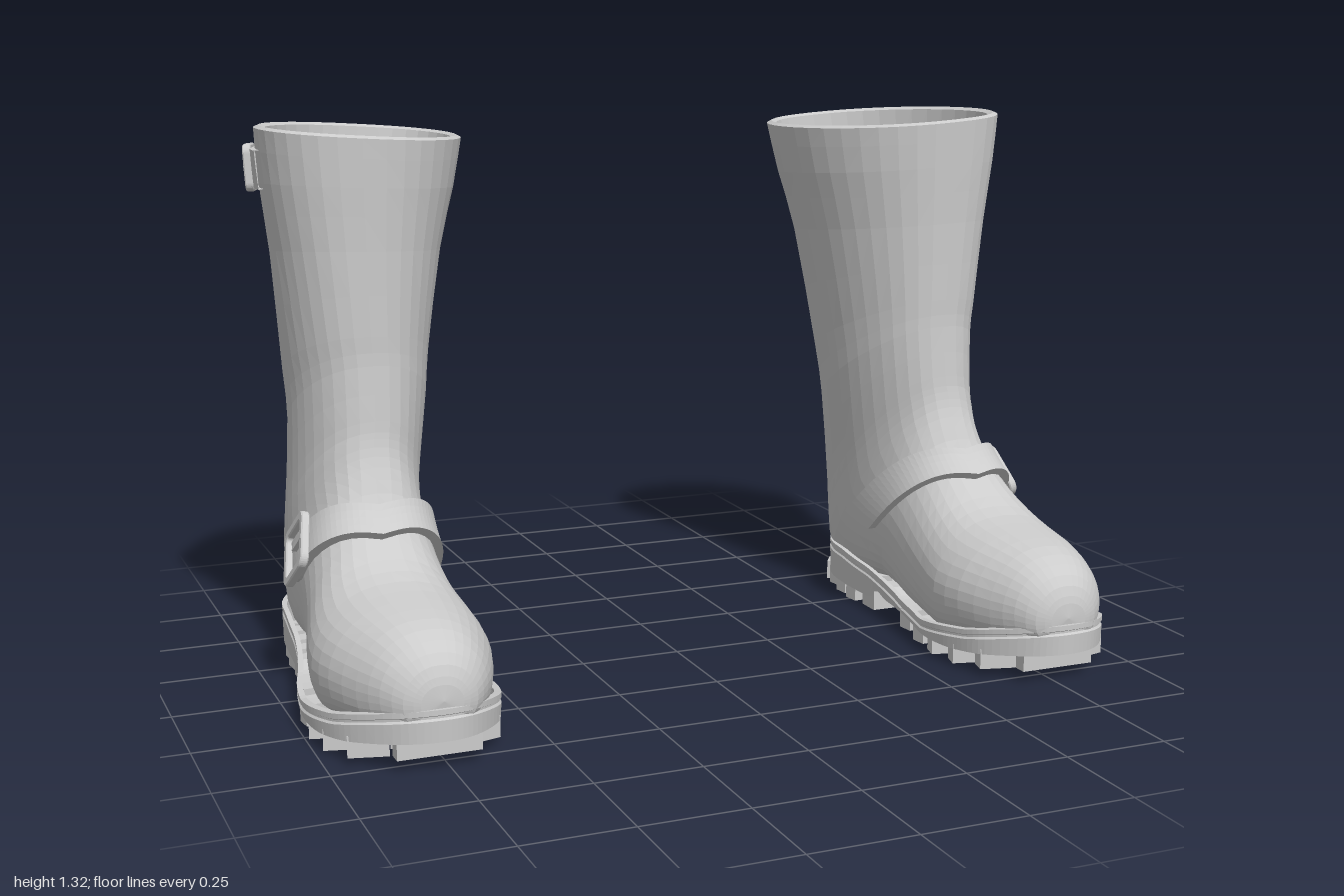
import * as THREE from 'three';

const mat = new THREE.MeshStandardMaterial({ color: 0xcccccc, flatShading: true, side: THREE.DoubleSide });
const V = (x, y, z) => new THREE.Vector3(x, y, z);
const PI = Math.PI;
const { smoothstep, clamp, lerp } = THREE.MathUtils;

// Upper sections, toe to rim: front z, y | back z, y | inner x, outer x
const STATIONS = [
  [.574, .195, .574, .13, .725, .82],
  [.56, .235, .56, .11, .69, .855],
  [.52, .278, .52, .10, .655, .895],
  [.45, .305, .46, .08, .625, .93],
  [.35, .32, .36, .07, .594, .966],
  [.25, .335, .26, .05, .584, .98],
  [.17, .365, .15, .05, .597, .968],
  [.11, .41, .02, .062, .608, .945],
  [.06, .46, -.12, .085, .612, .93],
  [.03, .52, -.3, .055, .608, .92],
  [.01, .57, -.45, .05, .605, .918],
  [0, .61, -.5, .14, .602, .915],
  [-.005, .65, -.51, .25, .595, .91],
  [-.015, .78, -.49, .5, .572, .903],
  [-.015, .85, -.51, .65, .56, .91],
  [-.012, 1.05, -.55, 1, .515, .93],
  [-.005, 1.2, -.57, 1.17, .475, .948],
  [0, 1.315, -.585, 1.315, .45, .955],
];
const LAST = STATIONS.length - 1;

// Smooth blend between sections, then roundness, low bulge and twist by rule
function stationAt(s) {
  const i = Math.min(Math.floor(s), LAST - 1), u = s - i;
  const at = (j) => STATIONS[clamp(j, 0, LAST)];
  const [a, b, c, d] = [at(i - 1), at(i), at(i + 1), at(i + 2)];
  const q = b.map((_, k) => b[k] + .5 * u * (c[k] - a[k]
    + u * (2 * a[k] - 5 * b[k] + 4 * c[k] - d[k] + u * (3 * (b[k] - c[k]) + d[k] - a[k]))));
  const shaft = smoothstep(s, 8.5, 13);
  return [...q, lerp(.42, .87, shaft), 1 + .4 * (1 - smoothstep(s, 4, 11.5)), Math.max(0, q[1] - .63) * .19];
}

// Point of a section; t runs sole, outer side, front, inner side
function sectionPoint([fz, fy, bz, by, xi, xo, low, skew, twist], t) {
  const u = (1 - Math.cos(t)) / 2, f = u ** skew, sn = Math.sin(t);
  const x = (xi + xo) / 2 + Math.sign(sn) * Math.abs(sn) ** (u < .5 ? low : .85) * (xo - xi) / 2 + twist * (f - .5);
  const y = by + (fy - by) * f;
  return V(x, y - .07 * (.955 - x) * (y / 1.3) ** 3, bz + (fz - bz) * f);
}
const surf = (s, t) => sectionPoint(stationAt(s), t);

function normalAt(s, t) {
  const e = .02, ds = surf(s + e, t).sub(surf(s - e, t)), dt = surf(s, t + e).sub(surf(s, t - e));
  return ds.cross(dt).normalize();
}

// Skin through rows of points
function loft(rows, closed = true) {
  const n = rows[0].length, pos = [], idx = [];
  rows.forEach((r) => r.forEach((p) => pos.push(p.x, p.y, p.z)));
  for (let j = 0; j < rows.length - 1; j++) {
    for (let i = 0; i < (closed ? n : n - 1); i++) {
      const a = j * n + i, a1 = j * n + (i + 1) % n;
      idx.push(a, a + n, a1, a1, a + n, a1 + n);
    }
  }
  const g = new THREE.BufferGeometry();
  g.setAttribute('position', new THREE.Float32BufferAttribute(pos, 3));
  g.setIndex(idx);
  g.computeVertexNormals();
  return g;
}

function add(parent, name, geo) {
  const m = new THREE.Mesh(geo, mat);
  m.name = name;
  parent.add(m);
  return m;
}

// Linear lookup in [z, value...] rows, z falling
function lookup(table, z, k = 1) {
  let i = 0;
  while (i < table.length - 2 && z < table[i + 1][0]) i++;
  const [a, b] = [table[i], table[i + 1]];
  return lerp(a[k], b[k], clamp((z - a[0]) / (b[0] - a[0]), 0, 1));
}

// Sole plan (z, inner x, outer x) and its top and bottom lines (z, y)
const OUTLINE = [[.585, .77, .77], [.555, .69, .86], [.46, .612, .945], [.36, .58, .985], [.25, .571, .998],
  [.12, .593, .985], [0, .61, .955], [-.12, .612, .935], [-.25, .608, .925], [-.38, .622, .91], [-.47, .675, .86], [-.5, .765, .765]];
const TOP = [[.585, .145], [.4, .103], [.2, .075], [.05, .08], [-.15, .115], [-.3, .13], [-.5, .13]];
const BASE = [[.585, .072], [.45, .052], [.35, .042], [.2, .038], [.07, .045], [-.05, .05], [-.118, .072], [-.128, .036], [-.5, .036]];

function buildSole(boot) {
  const outer = OUTLINE.map(([z, , x]) => V(x, 0, z)), inner = OUTLINE.slice(1, -1).reverse().map(([z, x]) => V(x, 0, z));
  const curve = new THREE.CatmullRomCurve3([...outer, ...inner], true, 'catmullrom', .5);
  const n = 132, pts = Array.from({ length: n }, (_, i) => curve.getPoint(i / n));
  const ring = (gx, gz, yOf) => pts.map((p, i) => {
    const cx = (p.x + pts[(n - i) % n].x) / 2;
    return V(cx + (p.x - cx) * gx, yOf(p.z), .04 + (p.z - .04) * gz);
  });
  const top = (d) => (z) => lookup(TOP, z) - d, base = (z) => lookup(BASE, z);
  add(boot, 'sole', loft([ring(.93, .97, top(0)), ring(1, 1, top(0)), ring(1, 1, top(.012)), ring(.98, .99, top(.015)),
    ring(.98, .99, top(.02)), ring(1, 1, top(.024)), ring(.99, .995, base), ring(0, .995, base)]));

  // Tread lugs
  const treads = new THREE.Group();
  treads.name = 'treads';
  boot.add(treads);
  const lug = (x, z, w, d, yaw = 0) => {
    const m = add(treads, 'lug', new THREE.BoxGeometry(w, .05, d));
    m.position.set(x, lookup(BASE, z) - .011, z);
    m.rotation.y = yaw;
  };
  for (const z of [.44, .355, .265, .165, .07, -.25, -.325, -.4]) {
    const xi = lookup(OUTLINE, z, 1), xo = lookup(OUTLINE, z, 2), cx = (xi + xo) / 2, w = (xo - xi) * .26;
    for (const k of [-1, 1]) {
      lug(k < 0 ? xi + w / 2 + .006 : xo - w / 2 - .006, z, w, .045, k * (z > .2 ? .25 : -.1));
      lug(cx + k * .036, z - .03, .05, .05, k * .45);
    }
  }
  lug(.773, -.16, .30, .065);
  lug(.77, .52, .19, .035);
  lug(.69, -.455, .07, .05, -.6);
  lug(.84, -.455, .07, .05, .6);
  lug(.765, -.475, .06, .035);
}

// Strap lying on the upper; sOf gives its centre section, taper its width
function strap(boot, name, t0, t1, sOf, half, h, taper) {
  const rows = [], n = 48;
  for (let i = 0; i <= n; i++) {
    const t = t0 + (t1 - t0) * i / n, w = half * taper(i / n);
    rows.push([[1, -.006], [1, h], [.5, h], [0, h], [-.5, h], [-1, h], [-1, -.006]].map(([k, o]) => {
      const s = sOf(t) + k * w;
      return surf(s, t).addScaledVector(normalAt(s, t), o);
    }));
  }
  add(boot, name, loft(rows, false));
}

// Rounded frame with a prong, set square to the strap
function buckle(boot, name, t, sOf, half, h) {
  const g = new THREE.Group();
  g.name = name;
  const square = (P, a, r) => {
    const p = new P();
    [[1, 1], [-1, 1], [-1, -1], [1, -1]].forEach(([x, y], i) => p.absarc(x * (a - r), y * (a - r), r, i * PI / 2, (i + 1) * PI / 2));
    p.closePath();
    return p;
  };
  const frame = square(THREE.Shape, half, half * .35);
  frame.holes.push(square(THREE.Path, half * .78, half * .2));
  add(g, 'buckleFrame', new THREE.ExtrudeGeometry(frame, { depth: .014, bevelSize: .003, bevelThickness: .003, bevelSegments: 1, curveSegments: 4 }));
  add(g, 'prong', new THREE.BoxGeometry(half * .95, .012, .012)).position.set(half * .45, 0, .012);
  const e = .03, N = normalAt(sOf(t), t);
  const T = surf(sOf(t + e), t + e).sub(surf(sOf(t - e), t - e));
  T.addScaledVector(N, -T.dot(N)).normalize();
  g.quaternion.setFromRotationMatrix(new THREE.Matrix4().makeBasis(T, N.clone().cross(T), N));
  g.position.copy(surf(sOf(t), t)).addScaledVector(N, h);
  boot.add(g);
}

function buildBoot(name) {
  const boot = new THREE.Group();
  boot.name = name;
  const around = 36, angles = Array.from({ length: around }, (_, i) => i / around * 2 * PI);
  const rows = [angles.map(() => V(.77, .16, .578))];
  for (let s = 0; s <= LAST; s += .5) rows.push(angles.map((t) => surf(s, t)));
  add(boot, 'upper', loft(rows));

  // Thick rim turning into the lining
  const inset = (s, d, dy) => {
    const q = stationAt(s);
    [-d, dy, d, dy, d, -d].forEach((v, k) => { q[k] += v; });
    return angles.map((t) => sectionPoint(q, t));
  };
  add(boot, 'cuffLining', loft([inset(LAST, 0, 0), inset(LAST, .012, .006), inset(LAST, .026, 0),
    inset(LAST - 1, .024, .01), inset(LAST - 1, .002, 0)]));

  buildSole(boot);

  // Instep strap with a rounded tip on the outer side
  const span = .54 * PI, instep = (t) => 7.4 + 1.65 * Math.abs(t - PI) / span;
  strap(boot, 'instepStrap', PI - span, PI + span, instep, .6, .022, (u) => Math.sqrt(Math.min(1, .02 + u / .07)));
  buckle(boot, 'instepBuckle', .62 * PI, instep, .07, .018);

  // Short strap below the rim
  const upperS = (t) => LAST - .78 + .12 * (.6 - t / PI);
  strap(boot, 'topStrap', .24 * PI, .6 * PI, upperS, .31, .012, (u) => Math.sqrt(Math.min(1, .03 + u / .18)));
  buckle(boot, 'topBuckle', .45 * PI, upperS, .053, .01);
  return boot;
}

export function createModel() {
  const pair = new THREE.Group();
  pair.name = 'boots';
  const left = buildBoot('leftBoot'), right = buildBoot('rightBoot');
  right.scale.x = -1;
  pair.add(left, right);
  return pair;
}
